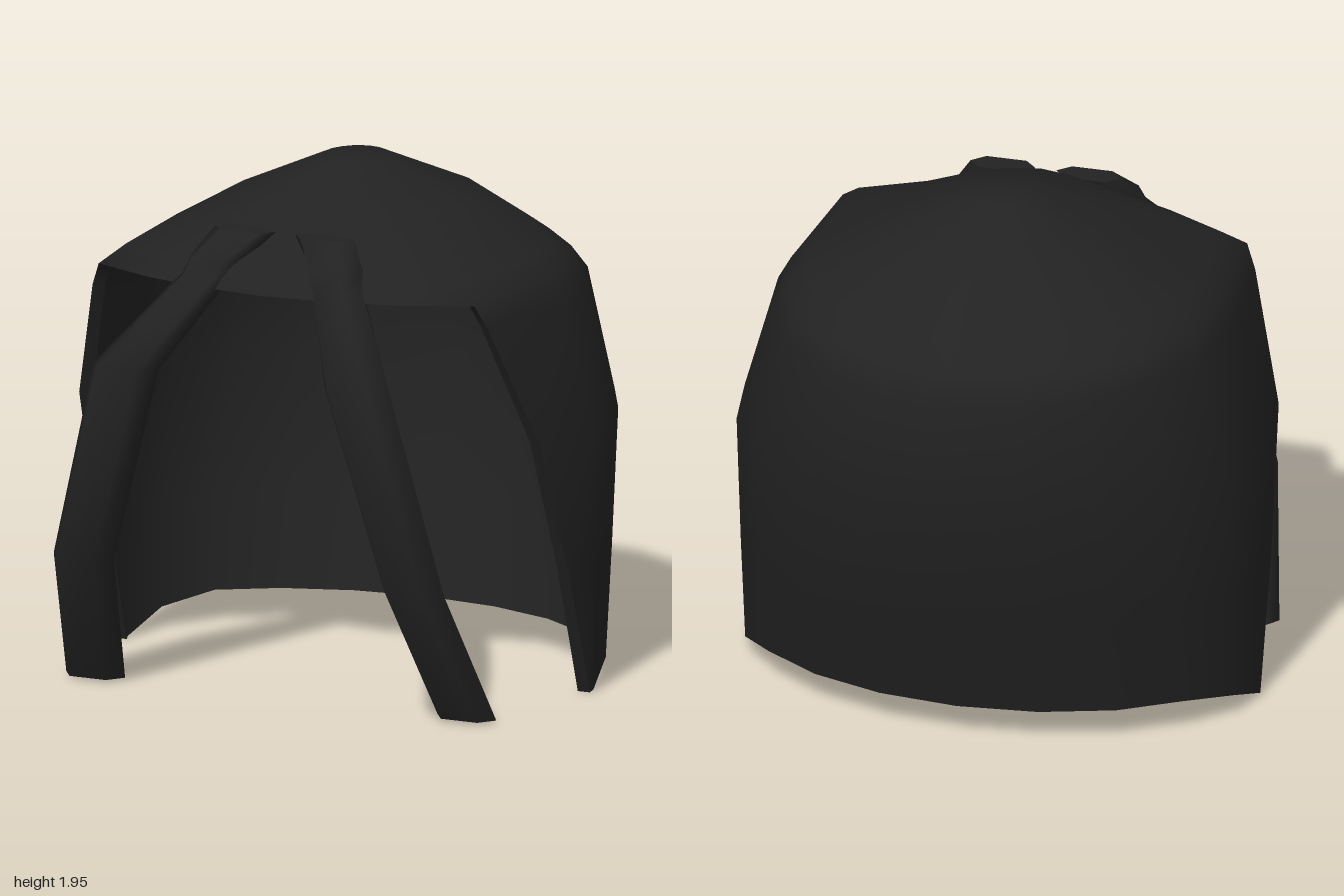
import * as THREE from 'three';

// Smooth surface through rows of points; keep(r, c) can leave quads out
function sheet(rows, { closed = true, flip = false, keep = () => true } = {}) {
  const n = rows[0].length, index = [];
  for (let r = 0; r < rows.length - 1; r++) {
    for (let c = 0; c < (closed ? n : n - 1); c++) {
      if (!keep(r, c)) continue;
      const d = (c + 1) % n;
      const a = r * n + c, b = r * n + d, e = a + n, f = b + n;
      if (flip) index.push(a, f, b, a, e, f);
      else index.push(a, b, f, a, f, e);
    }
  }
  const geo = new THREE.BufferGeometry();
  geo.setAttribute('position', new THREE.Float32BufferAttribute(rows.flat(2), 3));
  geo.setIndex(index);
  geo.computeVertexNormals();
  return geo;
}

// Levels of the cap: height, half width, back z, front edge x and z, fringe z
const LEVELS = [
  [0.00, 0.99, -0.70, 0.985, -0.03, 0],
  [0.50, 0.997, -0.82, 0.98, 0.14, 0],
  [1.02, 1.00, -0.975, 0.955, 0.33, 0],
  [1.48, 0.87, -0.95, 0.82, 0.49, 0],
  [1.57, 0.82, -0.85, 0.78, 0.52, 0.72],
  [1.64, 0.74, -0.76, 0.70, 0.45, 0.68],
  [1.80, 0.46, -0.55, 0.39, 0.22, 0.47],
  [1.95, 0.12, -0.19, 0.10, 0.04, 0.10],
  [1.95, 0, -0.05, 0, -0.05, -0.05],
];
const EDGE = 12;      // column of the right front edge; later columns are the fringe
const FRINGE_ROW = 4; // level of the lower edge of the fringe
const MID_Z = -0.05;

// Lower hem dips toward the front corners
const hem = (z) => THREE.MathUtils.clamp((-0.03 - z) / 0.33, 0, 1) * 0.125;

function capRow([y, a, zb, xe, ze, zf], r) {
  const row = [[xe, y, ze]];
  for (let i = 0; i <= 10; i++) {
    const t = (i / 10) * Math.PI;
    row.push([a * Math.cos(t), y, MID_Z + (zb - MID_Z) * Math.sin(t)]);
  }
  row.push([-xe, y, ze]);
  for (let i = 1; i <= 5; i++) {
    const u = -1 + i / 3;
    row.push(r < FRINGE_ROW ? [xe, y, ze] : [xe * u, y, zf - (zf - ze) * u * u]);
  }
  if (r === 0) row.forEach((p) => { p[1] = hem(p[2]); });
  return row;
}

function buildCap(material) {
  const cap = new THREE.Group();
  cap.name = 'hairCap';
  const add = (name, geo) => {
    const mesh = new THREE.Mesh(geo, material);
    mesh.name = name;
    cap.add(mesh);
  };
  const outer = LEVELS.map(capRow);
  const inner = outer.map((row, r) =>
    row.map(([x, y, z]) => [x * 0.95, r > FRINGE_ROW ? y - 0.05 : y, z * 0.95]));
  const keep = (r, c) => r >= FRINGE_ROW || c < EDGE;
  add('outerShell', sheet(outer, { keep }));
  add('innerShell', sheet(inner, { keep, flip: true }));

  // Rim follows the hem, one front edge, the fringe, then the other front edge
  const border = (rows) => {
    const path = rows[0].slice(0, EDGE + 1);
    for (let r = 1; r <= FRINGE_ROW; r++) path.push(rows[r][EDGE]);
    path.push(...rows[FRINGE_ROW].slice(EDGE + 1));
    for (let r = FRINGE_ROW; r > 0; r--) path.push(rows[r][0]);
    return path;
  };
  add('rim', sheet([border(inner), border(outer)]));
  return cap;
}

// Front lock, tip to root: centre x, y, z, half width, half depth
const LOCK = [
  [0.77, 0.01, 0.565, 0.122, 0.066],
  [0.685, 0.53, 0.835, 0.125, 0.077],
  [0.48, 1.29, 0.895, 0.135, 0.082],
  [0.27, 1.61, 0.64, 0.10, 0.08],
  [0.245, 1.67, 0.60, 0.11, 0.09],
  [0.165, 1.77, 0.53, 0.125, 0.05],
];
const SECTION = [[1, 0], [0.62, -1], [-0.62, -1], [-1, 0], [-0.62, 1], [0.62, 1]];

function buildLock(side, material) {
  const lock = new THREE.Group();
  lock.name = side > 0 ? 'leftFrontLock' : 'rightFrontLock';
  const rows = LOCK.map(([x, y, z, w, d]) =>
    SECTION.map(([u, v]) => [side * x + u * w, y, z + v * d]));
  const centre = ([x, y, z]) => SECTION.map(() => [side * x, y, z]);
  const last = LOCK.length - 1;
  const parts = {
    strand: sheet(rows),
    tip: sheet([centre(LOCK[0]), rows[0]]),
    root: sheet([rows[last], centre(LOCK[last])]),
  };
  for (const [name, geo] of Object.entries(parts)) {
    const mesh = new THREE.Mesh(geo, material);
    mesh.name = name;
    lock.add(mesh);
  }
  return lock;
}

export function createModel() {
  const black = new THREE.MeshStandardMaterial({ color: 0x222222 });
  black.name = 'softBlack';
  const model = new THREE.Group();
  model.name = 'hair';
  model.add(buildCap(black), buildLock(1, black), buildLock(-1, black));
  return model;
}
